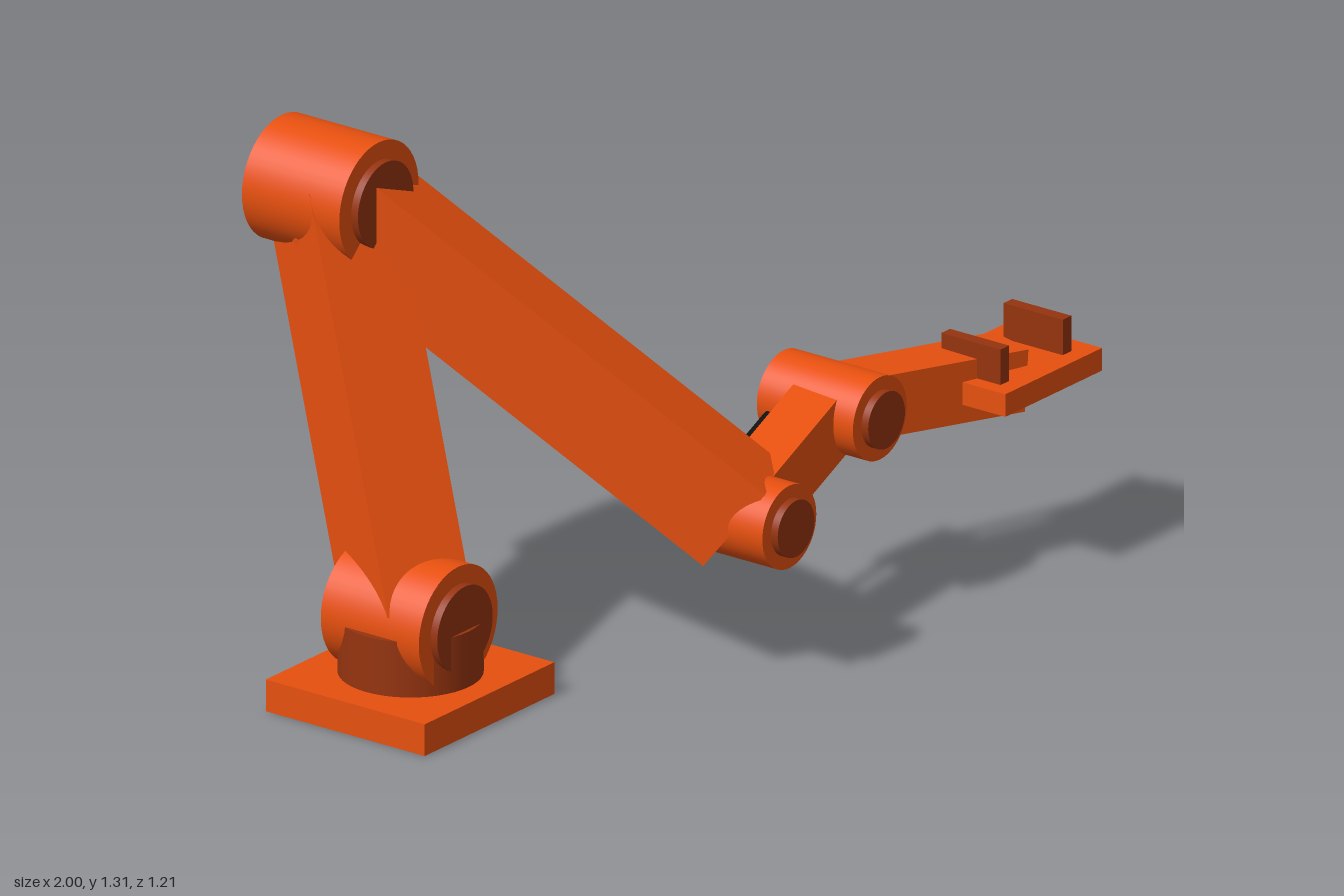
import * as THREE from 'three';

export function createModel() {
  const model = new THREE.Group();
  model.name = 'robotArm';

  const mat = (name, color) => {
    const m = new THREE.MeshStandardMaterial({ color });
    m.name = name;
    return m;
  };
  const orange = mat('orange', 0xe8500f);
  const darkOrange = mat('dark orange', 0x96340f);
  const black = mat('black', 0x111111);

  const add = (name, geometry, material, x, y, z) => {
    const mesh = new THREE.Mesh(geometry, material);
    mesh.name = name;
    mesh.position.set(x, y, z);
    model.add(mesh);
    return mesh;
  };
  const box = (w, h, d) => new THREE.BoxGeometry(w, h, d);

  // Round joint lying along z, with a smaller dark cap on its front
  const joint = (name, p, r, length, capR) => {
    const capDepth = 0.04;
    const barrel = new THREE.CylinderGeometry(r, r, length, 48).rotateX(Math.PI / 2);
    const cap = new THREE.CylinderGeometry(capR, capR, capDepth, 48).rotateX(Math.PI / 2);
    add(name, barrel, orange, p.x, p.y, p.z);
    add(name + 'Cap', cap, darkOrange, p.x, p.y, p.z + length / 2);
  };

  // Rectangular beam between two points, its width kept horizontal
  const beam = (name, a, b, width, thickness) => {
    const mid = a.clone().add(b).multiplyScalar(0.5);
    const mesh = add(name, box(width, thickness, a.distanceTo(b)), orange, mid.x, mid.y, mid.z);
    mesh.lookAt(b);
  };

  const V = (x, y, z) => new THREE.Vector3(x, y, z);
  const shoulder = V(-0.75, 0.225, -0.1025);
  const elbow = V(-0.585, 1.157, -0.4625);
  const wrist = V(-0.115, 0.397, 0.393);
  const hand = V(0.337, 0.51, 0.314);
  const tool = V(0.823, 0.478, 0.468);

  // Base
  add('basePlate', box(0.5, 0.08, 0.47), orange, -0.75, 0.04, -0.1);
  add('turret', new THREE.CylinderGeometry(0.172, 0.172, 0.14, 48), darkOrange, -0.748, 0.15, -0.1);

  // Joints
  joint('shoulderJoint', shoulder, 0.152, 0.29, 0.107);
  joint('elbowJoint', elbow, 0.153, 0.288, 0.107);
  joint('wristJoint', wrist, 0.104, 0.284, 0.071);
  joint('handJoint', hand, 0.104, 0.284, 0.071);

  // Links
  beam('upperArm', shoulder, elbow, 0.225, 0.235);
  beam('forearm', elbow, wrist, 0.22, 0.24);
  beam('wristLink', wrist, hand, 0.13, 0.16);
  beam('handLink', hand, tool, 0.138, 0.155);

  // Gripper plate with two upright fingers
  add('gripperPlate', box(0.373, 0.057, 0.275), orange, 0.8135, 0.487, 0.4675);
  for (const side of [-1, 1]) {
    add('gripperFinger', box(0.033, 0.1, 0.175), darkOrange, 0.8035 + side * 0.12, 0.555, 0.4725);
  }

  // Cable runs along the back of the last two links
  const cablePoints = [V(-0.115, 0.4, 0.268), V(0.337, 0.51, 0.188), V(0.823, 0.478, 0.34)];
  for (let i = 0; i < 2; i++) {
    const run = new THREE.LineCurve3(cablePoints[i], cablePoints[i + 1]);
    add('cable', new THREE.TubeGeometry(run, 1, 0.015, 12), black, 0, 0, 0);
    const end = cablePoints[i * 2];
    add('cableEnd', new THREE.SphereGeometry(0.015, 12, 8), black, end.x, end.y, end.z);
  }

  return model;
}
